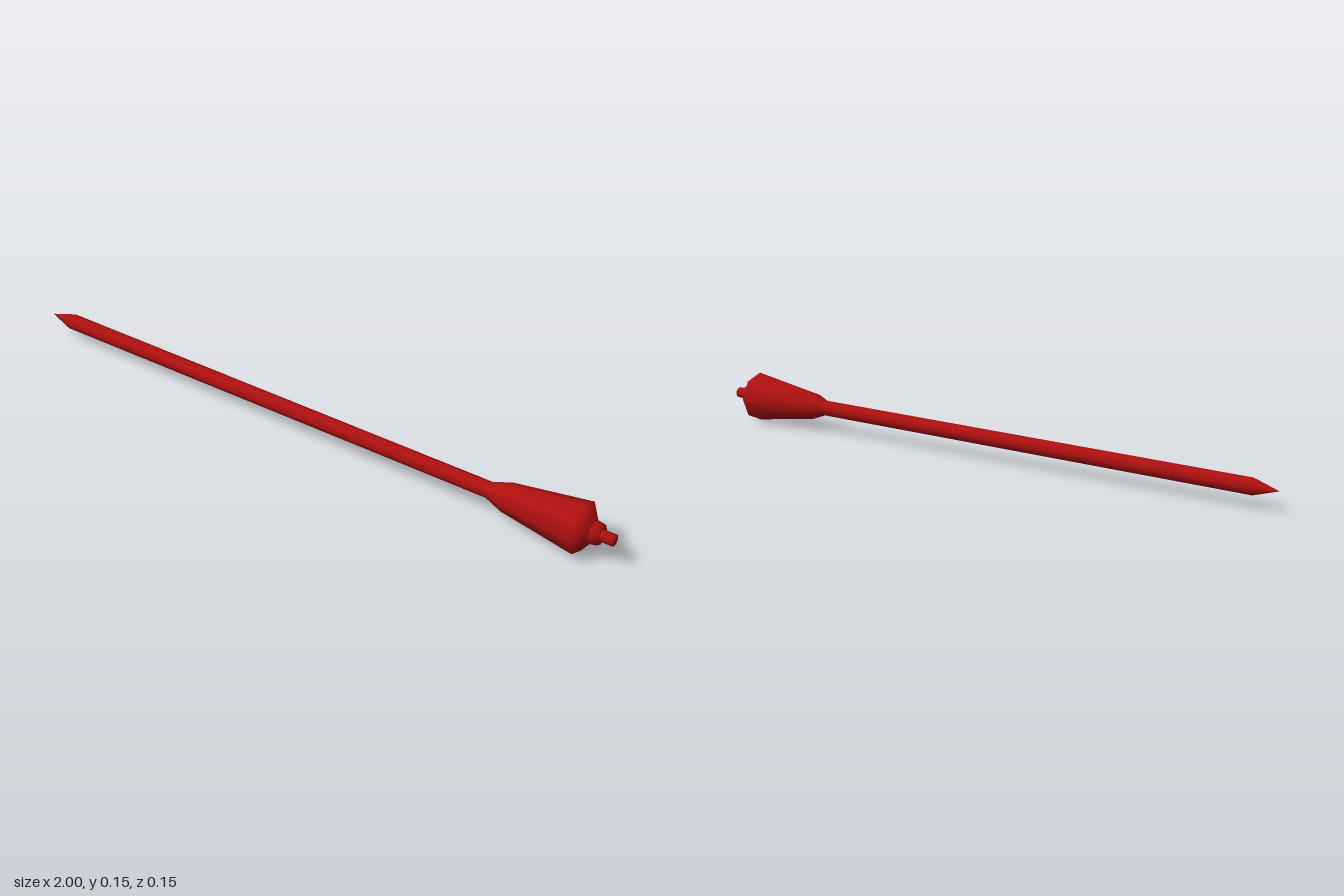
import * as THREE from 'three';

const SIDES = 8;

export function createModel() {
  const model = new THREE.Group();
  model.name = 'spikeTool';
  const red = new THREE.MeshStandardMaterial({ color: 0xb01010 });

  // Eight-sided turned part; profile is [radius, position along the length]
  function turned(name, profile) {
    const points = profile.map(([r, x]) => new THREE.Vector2(r, x));
    const geometry = new THREE.LatheGeometry(points, SIDES);
    geometry.rotateZ(-Math.PI / 2); // length runs along x
    const mesh = new THREE.Mesh(geometry, red);
    mesh.name = name;
    return mesh;
  }

  // Long rod with a pointed tip
  const shaft = turned('shaft', [[0, -1], [0.024, -0.92], [0.024, 0.615]]);

  // Flared grip, closing in behind its widest ring
  const handle = turned('handle', [
    [0.024, 0.615], [0.043, 0.67], [0.0765, 0.905], [0.034, 0.935],
  ]);

  // Stepped end: a wide collar and a small button
  const collar = turned('collar', [[0.034, 0.935], [0.03, 0.96], [0.017, 0.96]]);
  const button = turned('endButton', [[0.017, 0.96], [0.017, 1], [0, 1]]);

  // The whole tool rests with the tip slightly lower than the handle
  const tool = new THREE.Group();
  tool.name = 'tool';
  tool.add(shaft, handle, collar, button);
  tool.rotation.z = 0.011;
  tool.position.y = 0.0675;
  model.add(tool);
  return model;
}
